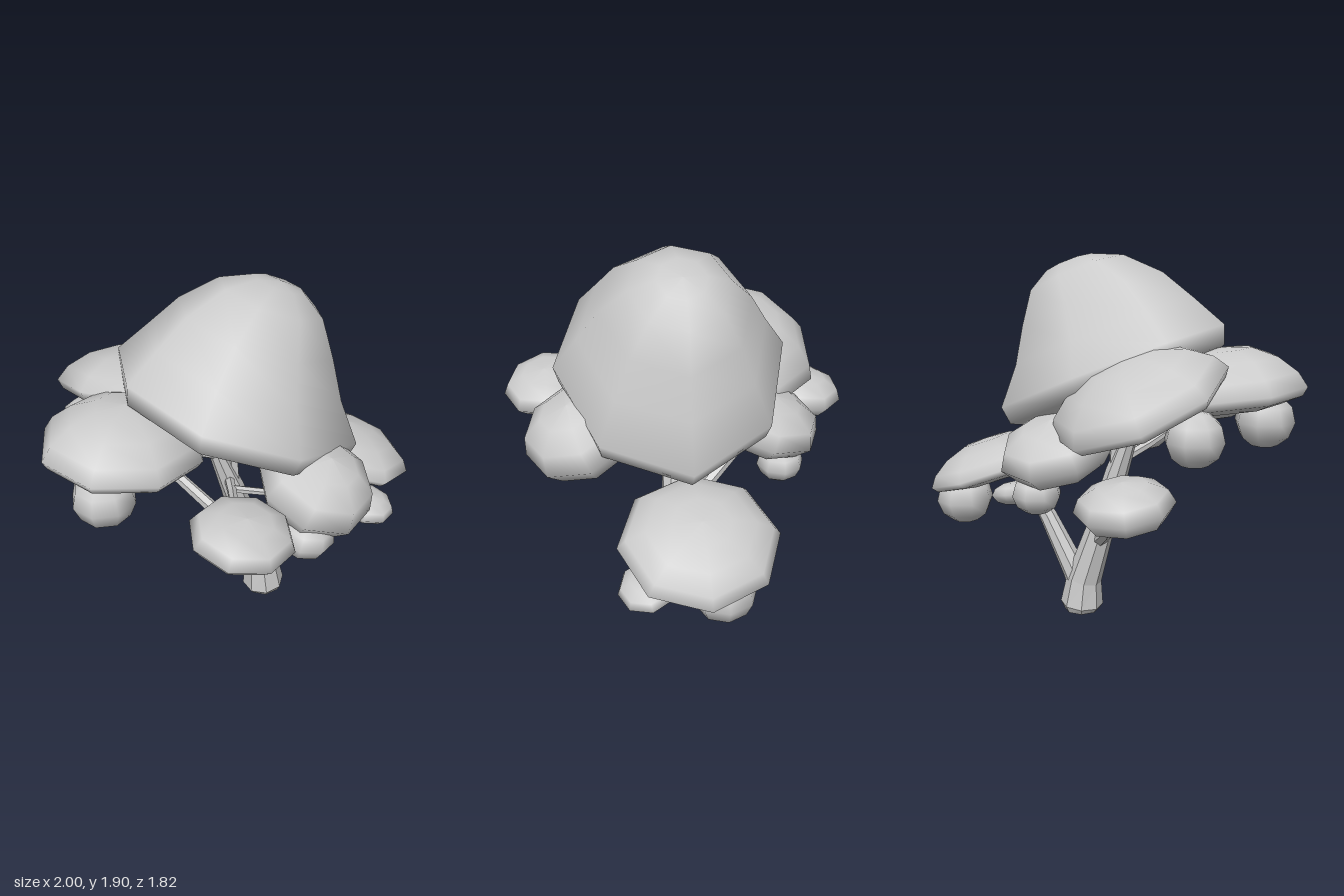
import * as THREE from 'three';

const material = new THREE.MeshStandardMaterial({ color: 0xcccccc });
const barkMaterial = new THREE.MeshStandardMaterial({ color: 0xcccccc, flatShading: true });

// Unit profiles [radius, height], from bottom to top
const CROWN = [[0, -0.08], [0.46, -0.11], [0.62, -0.05], [0.645, 0.04], [0.515, 0.21], [0.405, 0.38], [0.27, 0.53], [0.13, 0.6], [0, 0.615]];
const CAP = [[0, -0.3], [0.65, -0.27], [0.93, -0.12], [1, 0.06], [0.9, 0.38], [0.67, 0.72], [0.36, 0.95], [0, 1]];
const BALL = [[0, -1], [0.45, -0.9], [0.8, -0.6], [1, -0.05], [0.87, 0.5], [0.5, 0.87], [0, 1]];

// Eight-sided smooth clump of leaves; tilts about x and z and spin are in degrees
function clump(name, profile, [x, y, z], [sx, sy, sz], tiltX = 0, tiltZ = 0, spin = 0) {
  const points = profile.map(([r, h]) => new THREE.Vector2(r, h));
  const geometry = new THREE.LatheGeometry(points, 8, THREE.MathUtils.degToRad(spin));
  const mesh = new THREE.Mesh(geometry, material);
  mesh.name = name;
  mesh.position.set(x, y, z);
  mesh.scale.set(sx, sy, sz);
  mesh.rotation.set(THREE.MathUtils.degToRad(tiltX), 0, THREE.MathUtils.degToRad(tiltZ));
  return mesh;
}

// Big crown: a clump whose front and back edges and middle height lean to one side
function crown() {
  const mesh = clump('crown', CROWN, [0, 1.285, 0.08], [1, 1, 0.88], 2, -23);
  const p = mesh.geometry.attributes.position;
  for (let i = 0; i < p.count; i++) {
    const h = Math.max(0, p.getY(i));
    const bulge = 0.06 * Math.sin((Math.PI * h) / 0.7);
    p.setX(i, p.getX(i) - bulge - 0.15 * p.getZ(i) ** 2);
    p.setZ(i, p.getZ(i) - 0.08 * h);
  }
  return mesh;
}

// Tapered limb through stations [x, y, z, radius], closed at both ends
function limb(name, stations, sides = 8) {
  const centres = stations.map(([x, y, z]) => new THREE.Vector3(x, y, z));
  const last = centres.length - 1;
  const positions = [];
  const indices = [];
  const up = new THREE.Vector3(0, 1, 0);
  centres.forEach((centre, i) => {
    const tangent = centres[Math.min(i + 1, last)].clone().sub(centres[Math.max(i - 1, 0)]).normalize();
    const turn = new THREE.Quaternion().setFromUnitVectors(up, tangent);
    for (let j = 0; j < sides; j++) {
      const a = ((j + 0.5) / sides) * Math.PI * 2;
      const v = new THREE.Vector3(Math.sin(a), 0, Math.cos(a)).multiplyScalar(stations[i][3]);
      positions.push(...v.applyQuaternion(turn).add(centre).toArray());
      if (i < last) {
        const b = i * sides + j;
        const c = i * sides + ((j + 1) % sides);
        indices.push(b, c, c + sides, b, c + sides, b + sides);
      }
    }
  });
  for (let j = 1; j < sides - 1; j++) {
    const t = last * sides;
    indices.push(0, j + 1, j, t, t + j, t + j + 1);
  }
  const geometry = new THREE.BufferGeometry();
  geometry.setAttribute('position', new THREE.Float32BufferAttribute(positions, 3));
  geometry.setIndex(indices);
  geometry.computeVertexNormals();
  const mesh = new THREE.Mesh(geometry, barkMaterial);
  mesh.name = name;
  return mesh;
}

export function createModel() {
  const tree = new THREE.Group();
  tree.name = 'tree';

  // Trunk and branches
  const wood = new THREE.Group();
  wood.name = 'wood';
  wood.add(
    limb('trunk', [[0.155, 0, 0.07, 0.095], [0.155, 0.035, 0.07, 0.115], [0.14, 0.18, 0.07, 0.095], [0.05, 0.46, 0.07, 0.075],
      [-0.05, 0.8, 0.07, 0.06], [-0.13, 1.03, 0.06, 0.04], [-0.22, 1.28, 0.06, 0.035]]),
    limb('upperBranch', [[-0.05, 0.8, 0.07, 0.045], [-0.05, 1.0, 0.06, 0.036], [-0.03, 1.25, 0.05, 0.03]], 6),
    limb('leftBranch', [[0.14, 0.08, 0.07, 0.07], [0.2, 0.22, 0.07, 0.065], [0.35, 0.5, 0.07, 0.048], [0.54, 0.82, 0.06, 0.03]]),
    limb('leftTwig', [[0.29, 0.42, 0.08, 0.03], [0.4, 0.52, 0.15, 0.022], [0.65, 0.55, 0.28, 0.015]], 6),
    limb('backBranch', [[0.06, 0.4, 0.07, 0.04], [-0.04, 0.5, -0.06, 0.036], [-0.2, 0.7, -0.33, 0.03], [-0.36, 0.88, -0.62, 0.024]], 6),
    limb('frontBranch', [[-0.07, 0.86, 0.07, 0.026], [-0.15, 0.91, 0.24, 0.024], [-0.32, 1.04, 0.56, 0.018]], 6),
    limb('frontTwig', [[-0.12, 0.89, 0.19, 0.02], [0.06, 0.99, 0.5, 0.016]], 6),
    limb('rearBranch', [[-0.12, 0.99, 0.06, 0.025], [-0.02, 1.07, -0.15, 0.024], [0.1, 1.07, -0.38, 0.02]], 6),
    limb('rightBranch', [[-0.13, 1.02, 0.06, 0.025], [-0.55, 1.24, 0.06, 0.018]], 6),
    limb('rearRightBranch', [[-0.12, 1.0, 0.06, 0.025], [-0.3, 1.22, -0.3, 0.018]], 6),
  );

  // Leaf clumps: the big crown, the caps around it, and the round clumps beneath
  const leaves = new THREE.Group();
  leaves.name = 'leaves';
  leaves.add(
    crown(),
    clump('rightCap', CAP, [-0.62, 1.25, 0.06], [0.385, 0.225, 0.365], 0, -7),
    clump('leftCap', CAP, [0.655, 0.75, 0.055], [0.365, 0.17, 0.38], -1, -19),
    clump('rearRightCap', CAP, [-0.315, 1.245, -0.32], [0.435, 0.225, 0.425], -17, -18, 22.5),
    clump('rearCap', BALL, [0.075, 1.02, -0.375], [0.28, 0.145, 0.3], -18, -6),
    clump('frontCap', BALL, [0.115, 1.065, 0.54], [0.285, 0.185, 0.29], 20, -12),
    clump('frontRightCap', BALL, [-0.365, 1.075, 0.68], [0.245, 0.1, 0.23], 8, -9),
    clump('backCap', BALL, [-0.4, 0.89, -0.715], [0.22, 0.11, 0.22], -8, -4, 22.5),
    clump('rightClump', BALL, [-0.78, 1.115, 0.18], [0.15, 0.14, 0.15]),
    clump('rearRightClump', BALL, [-0.6, 1.125, -0.39], [0.14, 0.13, 0.14]),
    clump('rearClump', BALL, [0.15, 0.805, -0.45], [0.12, 0.1, 0.12]),
    clump('frontClump', BALL, [0.0, 0.89, 0.64], [0.14, 0.11, 0.14], 5, -10),
    clump('leftClump', BALL, [0.81, 0.585, -0.03], [0.155, 0.14, 0.155]),
    clump('leftFrontClump', BALL, [0.67, 0.53, 0.3], [0.15, 0.07, 0.145], 10, -10),
  );

  tree.add(wood, leaves);
  return tree;
}
